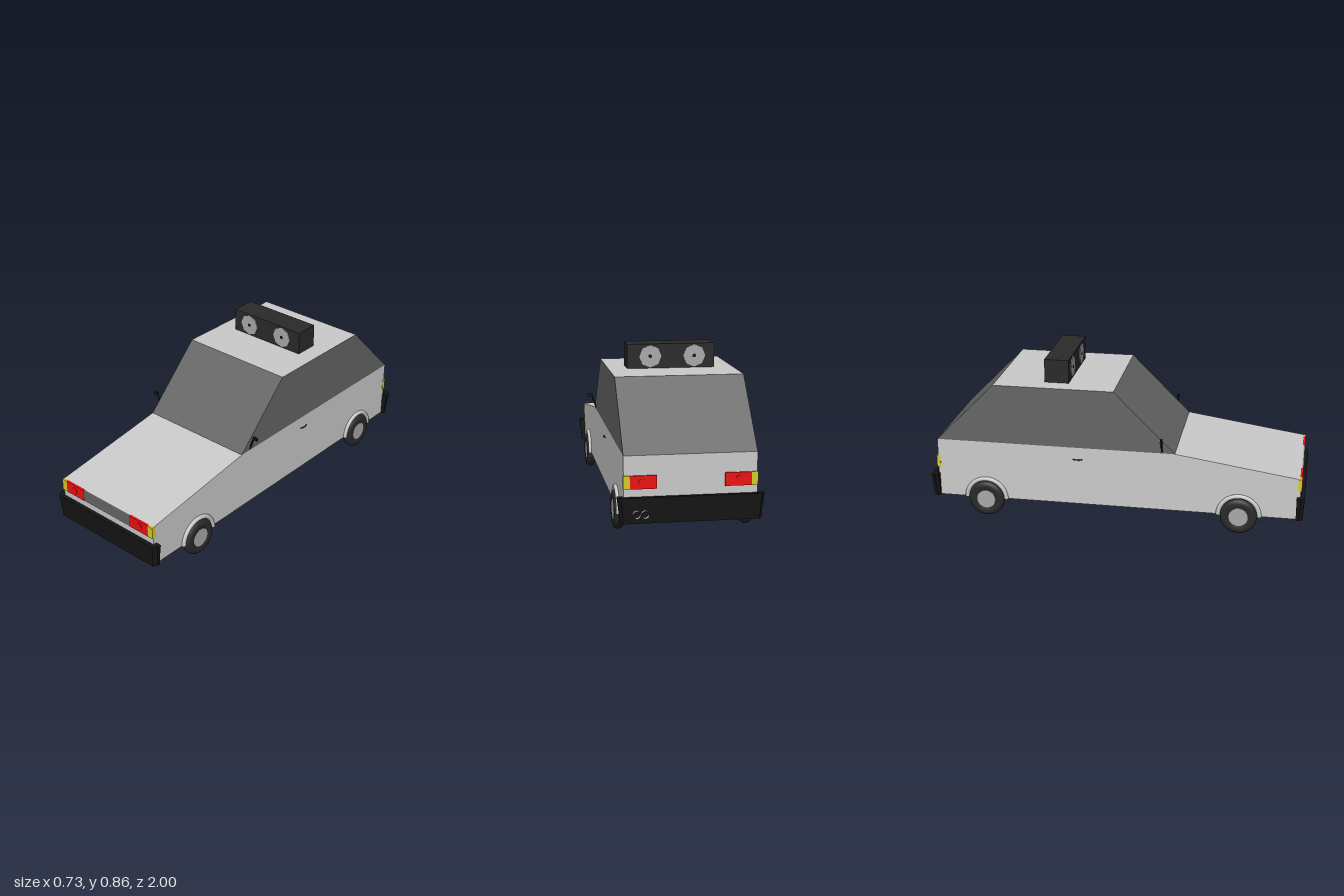
import * as THREE from 'three';

const mat = (color) => new THREE.MeshStandardMaterial({ color, side: THREE.DoubleSide });
const paint = mat(0xcccccc), glass = mat(0x666666), black = mat(0x151515), rubber = mat(0x2a2a2a),
  red = mat(0xee1111), amber = mat(0xd8cc22), metal = mat(0xaaaaaa);
const W = 0.318;

function add(parent, name, geo, material, x = 0, y = 0, z = 0) {
  const m = new THREE.Mesh(geo, material);
  m.name = name;
  m.position.set(x, y, z);
  parent.add(m);
  return m;
}
const box = (w, h, d) => new THREE.BoxGeometry(w, h, d);
const disc = (r, d, n = 24) => new THREE.CylinderGeometry(r, r, d, n).rotateX(Math.PI / 2);

// Full-width panel following a strip of [z, y] profile points
function strip(points) {
  const pos = [];
  for (let i = 0; i + 1 < points.length; i++) {
    const [z0, y0] = points[i], [z1, y1] = points[i + 1];
    pos.push(-W, y0, z0, W, y0, z0, W, y1, z1, -W, y0, z0, W, y1, z1, -W, y1, z1);
  }
  const g = new THREE.BufferGeometry();
  g.setAttribute('position', new THREE.Float32BufferAttribute(pos, 3));
  g.computeVertexNormals();
  return g;
}

// Flat side panel from [z, y] points
function sidePanel(points, side) {
  const s = new THREE.Shape(points.map(([z, y]) => new THREE.Vector2(-side * z, y)));
  return new THREE.ShapeGeometry(s).rotateY(side * Math.PI / 2);
}

// Wrap-around bumper, narrowing towards its lower edge
function bumperGeometry() {
  const half = [[0.35, -0.042], [0.35, -0.02], [0.335, 0], [-0.335, 0], [-0.35, -0.02], [-0.35, -0.042],
    [-0.32, -0.042], [-0.32, -0.022], [0.32, -0.022], [0.32, -0.042]];
  const shape = new THREE.Shape(half.map(([x, z]) => new THREE.Vector2(x, -z)));
  const g = new THREE.ExtrudeGeometry(shape, { depth: 0.125, steps: 2, bevelEnabled: false }).rotateX(-Math.PI / 2);
  const p = g.attributes.position;
  for (let i = 0; i < p.count; i++) {
    const drop = 1 - p.getY(i) / 0.125;
    p.setX(i, p.getX(i) * (1 - 0.035 * Math.min(1, drop * 1.3)));
    if (p.getZ(i) > -0.021) p.setZ(i, p.getZ(i) - 0.008 * drop);
  }
  g.computeVertexNormals();
  return g;
}

// Lamp clusters on one end, built facing +z
function lamps(parent) {
  for (const s of [-1, 1]) {
    add(parent, 'redLamp', box(0.127, 0.064, 0.012), red, s * 0.2255, 0.291, 0);
    add(parent, 'indicator', box(0.032, 0.064, 0.02), amber, s * 0.304, 0.291, -0.004);
    add(parent, 'lampLens', disc(0.018, 0.004), red, s * 0.23, 0.291, 0.007);
  }
}

function wheel() {
  const g = new THREE.Group();
  g.name = 'wheel';
  const profile = [[0, -0.023], [0.075, -0.024], [0.089, -0.02], [0.096, -0.01], [0.097, 0],
    [0.096, 0.01], [0.089, 0.02], [0.075, 0.025], [0.052, 0.023], [0.05, 0.017], [0, 0.017]];
  const tyre = new THREE.LatheGeometry(profile.map(([r, a]) => new THREE.Vector2(r, a)), 32);
  add(g, 'tyre', tyre.rotateZ(-Math.PI / 2), rubber);
  add(g, 'hub', new THREE.CylinderGeometry(0.05, 0.05, 0.006, 24).rotateZ(Math.PI / 2), metal, 0.019);
  return g;
}

export function createModel() {
  const car = new THREE.Group();
  car.name = 'car';

  // Hollow body shell, open underneath
  const nose = [0.975, 0.322], cowl = [0.325, 0.418], roofF = [0.005, 0.737], roofB = [-0.63, 0.737], tail = [-0.945, 0.418];
  const noseLow = [0.975, 0.1], tailLow = [-0.945, 0.1];
  add(car, 'frontPanel', strip([noseLow, nose]), paint);
  add(car, 'bonnet', strip([nose, cowl]), paint);
  add(car, 'windscreen', strip([cowl, roofF]), glass);
  add(car, 'roof', strip([roofF, roofB]), paint);
  add(car, 'rearWindow', strip([roofB, tail]), glass);
  add(car, 'rearPanel', strip([tail, tailLow]), paint);
  for (const s of [-1, 1]) {
    add(car, 'bodySide', sidePanel([noseLow, nose, cowl, tail, tailLow], s), paint, s * W);
    add(car, 'sideWindow', sidePanel([cowl, roofF, roofB, tail], s), glass, s * W);
  }

  // Front and rear ends
  const front = new THREE.Group(), rear = new THREE.Group();
  front.name = 'frontEnd';
  rear.name = 'rearEnd';
  front.position.z = 0.975;
  rear.position.z = -0.947;
  rear.rotation.y = Math.PI;
  car.add(front, rear);
  for (const end of [front, rear]) lamps(end);
  add(front, 'frontBumper', bumperGeometry(), black, 0, 0.1, 0.024);
  add(rear, 'rearBumper', bumperGeometry(), black, 0, 0.1, 0.034);

  // Slatted grille
  add(front, 'grilleBack', box(0.322, 0.064, 0.004), metal, 0, 0.291, 0);
  for (let i = 0; i < 9; i++) add(front, 'grilleSlat', box(0.322, 0.004, 0.006), metal, 0, 0.263 + i * 0.007, 0.003);

  // Twin exhaust
  for (const x of [0.222, 0.262]) {
    const pipe = new THREE.CylinderGeometry(0.018, 0.018, 0.07, 16, 1, true).rotateX(Math.PI / 2);
    add(car, 'exhaustPipe', pipe, metal, x, 0.147, -0.965);
  }

  for (const s of [-1, 1]) {
    // Wheels and arches
    for (const z of [0.663, -0.684]) {
      const w = wheel();
      w.position.set(s * 0.316, 0.097, z);
      if (s < 0) w.rotation.y = Math.PI;
      car.add(w);
      const arch = new THREE.TorusGeometry(0.107, 0.012, 8, 24, Math.PI).rotateY(Math.PI / 2);
      add(car, 'wheelArch', arch, paint, s * 0.322, 0.1, z);
    }
    // Door mirror
    const arm = new THREE.LineCurve3(new THREE.Vector3(s * 0.316, 0.425, 0.258), new THREE.Vector3(s * 0.343, 0.5, 0.258));
    add(car, 'mirrorArm', new THREE.TubeGeometry(arm, 1, 0.005, 6), black);
    add(car, 'mirrorHead', box(0.028, 0.016, 0.01), black, s * 0.351, 0.497, 0.258);
    // Door handle
    const grip = new THREE.CatmullRomCurve3([[0.316, -0.162], [0.324, -0.172], [0.324, -0.2], [0.316, -0.21]]
      .map(([x, z]) => new THREE.Vector3(s * x, 0.352, z)));
    add(car, 'doorHandle', new THREE.TubeGeometry(grip, 10, 0.003, 6), black);
  }

  // Roof speaker box with drivers on both faces
  const speaker = new THREE.Group();
  speaker.name = 'roofSpeaker';
  speaker.position.set(0, 0.798, -0.311);
  car.add(speaker);
  add(speaker, 'speakerBox', box(0.446, 0.125, 0.128), rubber);
  for (const f of [-1, 1]) for (const x of [-0.119, 0.106]) {
    add(speaker, 'speakerCone', disc(0.057, 0.006, 8), metal, x, 0, f * 0.065);
    add(speaker, 'speakerCentre', disc(0.009, 0.006, 12), black, x, 0, f * 0.067);
  }
  return car;
}
